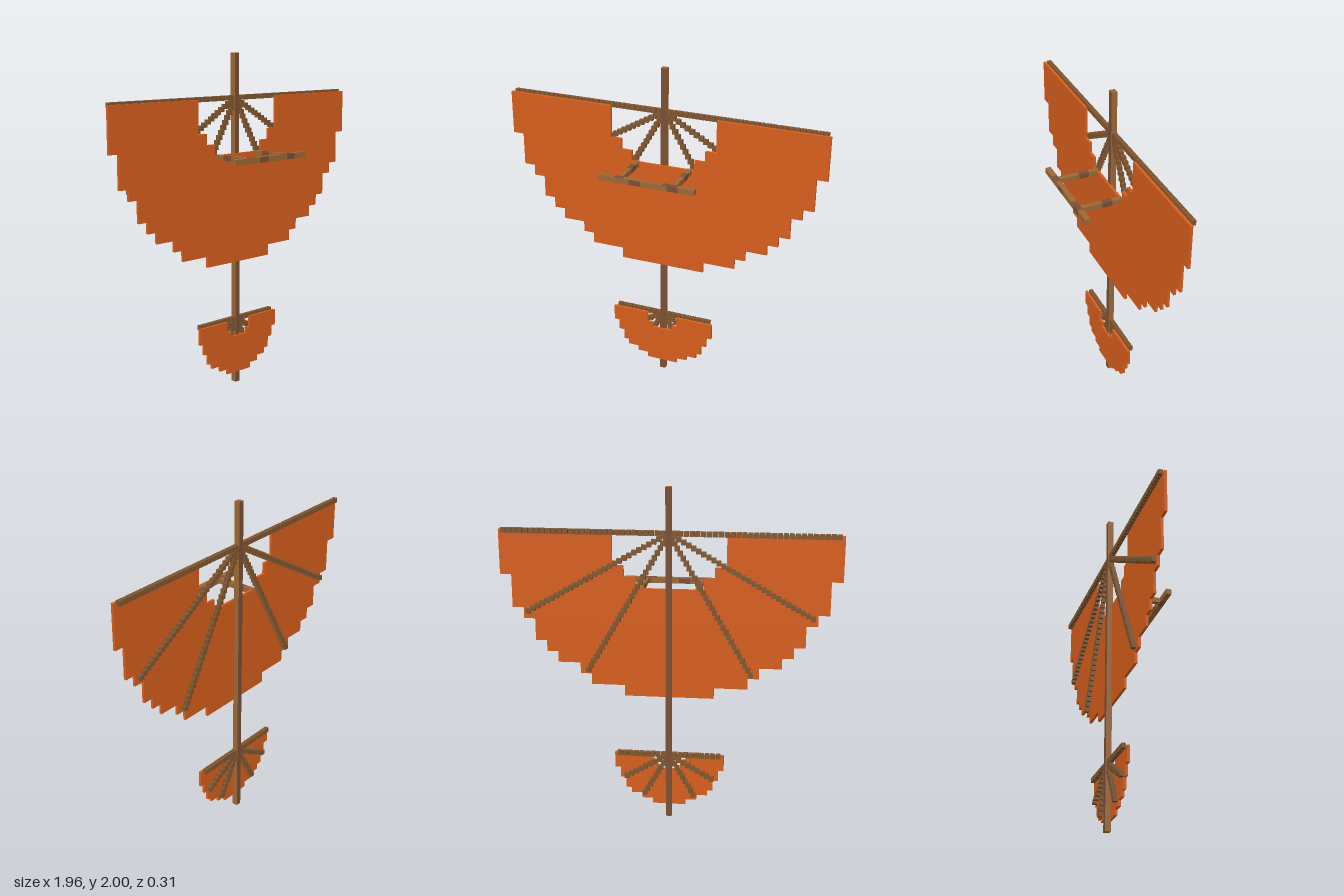
import * as THREE from 'three';

const mat = (name, color) => {
  const m = new THREE.MeshStandardMaterial({ color });
  m.name = name;
  return m;
};

// Stair-stepped corner points on the +x side, from the top edge down.
// steps: [half width, depth at which that width ends], in grid units
function stairs(steps, unit, top) {
  const pts = [];
  let y = top;
  for (const [w, d] of steps) {
    pts.push([w * unit, y]);
    y = top - d * unit;
    pts.push([w * unit, y]);
  }
  return pts;
}

export function createModel() {
  const cloth = mat('orange cloth', 0xd65e1c);
  const wood = mat('brown wood', 0x9c6735);
  const darkWood = mat('dark wood', 0x7a4e36);
  const ribWood = mat('rib wood', 0x80562f);
  const model = new THREE.Group();
  model.name = 'glider';

  const U = 0.0327, MAST_Z = -0.139;

  function box(name, size, pos, material, parent = model) {
    const m = new THREE.Mesh(new THREE.BoxGeometry(...size), material);
    m.name = name;
    m.position.set(...pos);
    parent.add(m);
  }

  // Half-round stepped cloth with a stepped notch at the middle of its top edge
  function sail(name, outer, inner, unit, top) {
    const o = stairs(outer, unit, top), n = stairs(inner, unit, top);
    const flip = (pts) => pts.map(([x, y]) => [-x, y]);
    const outline = [...o, ...flip(o).reverse(), ...flip(n), ...[...n].reverse()];
    const shape = new THREE.Shape(outline.map(([x, y]) => new THREE.Vector2(x, y)));
    const geo = new THREE.ExtrudeGeometry(shape, { depth: 0.016, bevelEnabled: false });
    const m = new THREE.Mesh(geo, cloth);
    m.name = name;
    m.position.z = -0.126;
    model.add(m);
  }

  // Fan of ribs made of small unrotated blocks
  function ribs(name, count, top) {
    const fan = new THREE.Group();
    fan.name = name;
    for (const deg of [0, 30, 60, 120, 150, 180]) {
      const a = THREE.MathUtils.degToRad(deg);
      const rib = new THREE.Group();
      rib.name = 'rib';
      for (let i = 1; i <= count; i++) {
        box('ribBlock', [0.0285, 0.0285, 0.025],
          [Math.cos(a) * i * U, top - Math.sin(a) * i * U, MAST_Z], ribWood, rib);
      }
      fan.add(rib);
    }
    model.add(fan);
  }

  // Main wing
  sail('wingCloth',
    [[15, 4], [14, 7], [13, 8], [12, 10], [11, 11], [10, 12], [8, 13], [7, 14], [4, 15]],
    [[5, 3], [4, 4], [3, 5]], 2 * U, 1.739);
  ribs('wingRibs', 29, 1.738);

  // Tail
  sail('tailCloth',
    [[10, 3], [9, 5], [8, 7], [7, 8], [5, 9], [3, 10]],
    [[3, 2], [2, 3]], U, 0.396);
  ribs('tailRibs', 9, 0.398);

  // Mast, darker on its front and back
  box('mast', [0.035, 2, 0.034], [0, 1, MAST_Z],
    [wood, wood, wood, wood, darkWood, darkWood]);

  // Handle: two arms and a cross bar
  for (const s of [-1, 1]) {
    box('handleArm', [0.03, 0.03, 0.25], [s * 0.164, 1.4, 0], wood);
    box('armGrain', [0.0305, 0.0305, 0.06], [s * 0.164, 1.4, -0.03], darkWood);
  }
  box('handleBar', [0.59, 0.0325, 0.0325], [0, 1.4, 0.139], wood);

  // Dark wood grain on the bar: plates on the front, back, top and bottom
  for (const s of [-1, 1]) {
    for (const [x, w] of [[-0.065, 0.07], [0.165, 0.065]])
      box('barGrain', [w, 0.0325, 0.001], [x, 1.4, 0.139 + s * 0.016], darkWood);
    for (const [x, w] of [[-0.165, 0.06], [0.145, 0.09]])
      box('barGrain', [w, 0.001, 0.0325], [x, 1.4 + s * 0.016, 0.139], darkWood);
  }
  return model;
}
